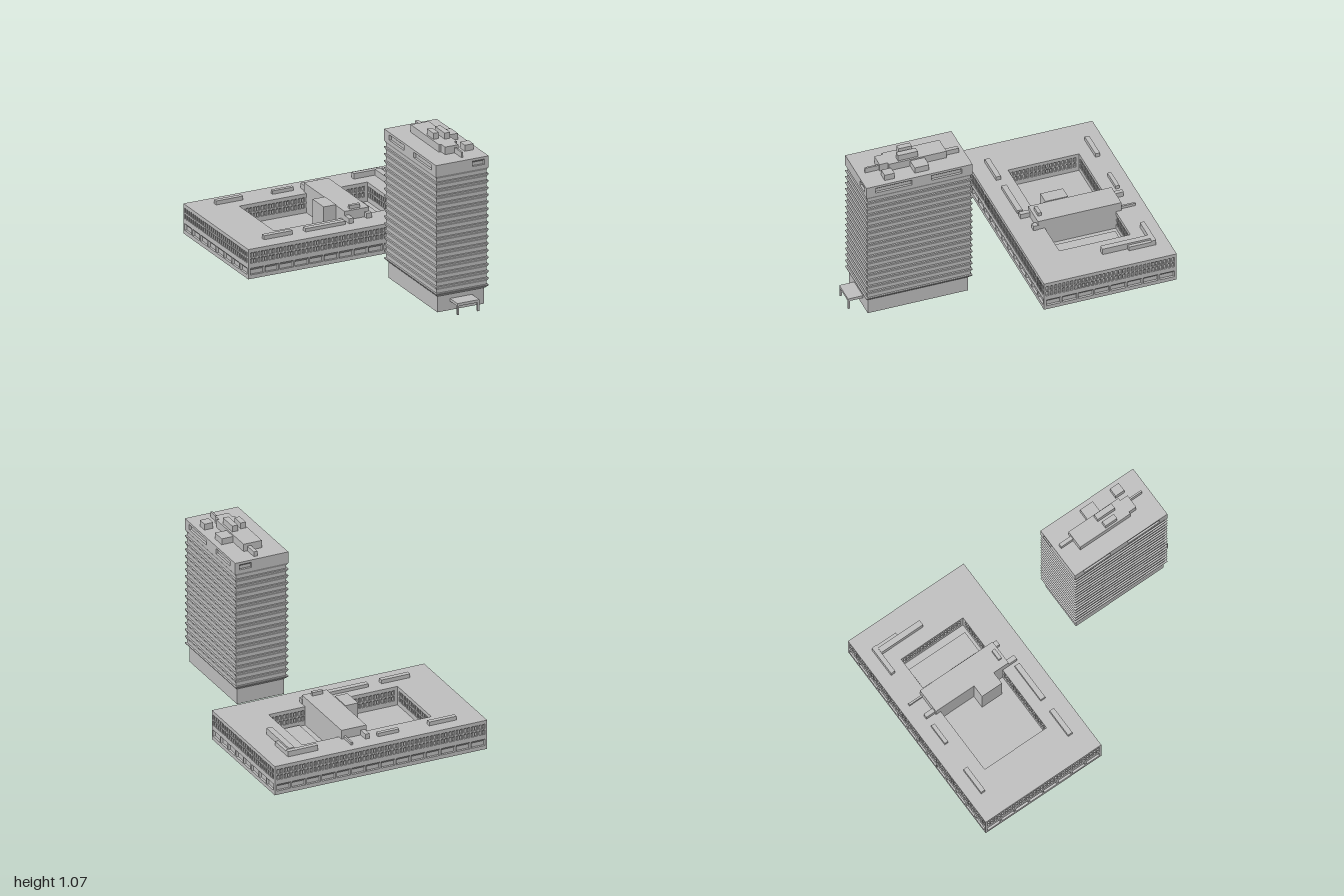
import * as THREE from 'three';
import { mergeGeometries } from 'three/addons/utils/BufferGeometryUtils.js';

const concrete = new THREE.MeshStandardMaterial({ color: 0xbfbfbf });
concrete.name = 'concrete grey';

function add(parent, name, geometry) {
  const mesh = new THREE.Mesh(geometry, concrete);
  mesh.name = name;
  parent.add(mesh);
}

// Box given by its limits
function block(parent, name, x0, x1, y0, y1, z0, z1) {
  const g = new THREE.BoxGeometry(x1 - x0, y1 - y0, z1 - z0);
  add(parent, name, g.translate((x0 + x1) / 2, (y0 + y1) / 2, (z0 + z1) / 2));
}

function fromTriangles(points) {
  const g = new THREE.BufferGeometry();
  g.setAttribute('position', new THREE.Float32BufferAttribute(points.flat(), 3));
  g.computeVertexNormals();
  return g;
}

function quad(out, a, b, c, d) {
  out.push(a, b, c, a, c, d);
}

const corners = (x0, x1, y0, y1, z) => [[x0, y0, z], [x1, y0, z], [x1, y1, z], [x0, y1, z]];

function rectPath(PathType, x0, x1, y0, y1) {
  return new PathType(corners(x0, x1, y0, y1, 0).map(p => new THREE.Vector2(p[0], p[1])));
}

// Wall facing +z with sunken windows; each window has a sloping head
function facade(width, y0, y1, windows) {
  const shape = rectPath(THREE.Shape, -width / 2, width / 2, y0, y1);
  const tris = [];
  for (const w of windows) {
    shape.holes.push(rectPath(THREE.Path, w.x0, w.x1, w.y0, w.y1));
    const o = corners(w.x0, w.x1, w.y0, w.y1, 0);
    const n = corners(w.x0 + w.side, w.x1 - w.side, w.y0, w.y1 - w.head, -w.depth);
    for (let i = 0; i < 4; i++) quad(tris, o[i], o[(i + 1) % 4], n[(i + 1) % 4], n[i]);
    quad(tris, ...n);
  }
  const flat = new THREE.ShapeGeometry(shape).toNonIndexed();
  flat.deleteAttribute('uv');
  return windows.length ? mergeGeometries([flat, fromTriangles(tris)]) : flat;
}

// Four facades around a rectangle, in the order front, right, back, left
function walls(parent, name, [x0, x1, z0, z1], y0, y1, windowsFor, inward = false) {
  const cx = (x0 + x1) / 2, cz = (z0 + z1) / 2, w = x1 - x0, d = z1 - z0;
  for (let i = 0; i < 4; i++) {
    const length = i % 2 ? d : w, reach = (i % 2 ? w : d) / 2;
    const g = facade(length, y0, y1, windowsFor(i, length));
    g.translate(0, 0, inward ? -reach : reach);
    add(parent, name, g.rotateY(i * Math.PI / 2).translate(cx, 0, cz));
  }
}

// Evenly spaced row of windows
function row(length, count, gap, y0, y1, head, depth) {
  const pitch = length / count, list = [];
  for (let i = 0; i < count; i++) {
    const x = -length / 2 + i * pitch;
    list.push({ x0: x + gap / 2, x1: x + pitch - gap / 2, y0, y1, head, depth, side: Math.min(0.003, gap / 3) });
  }
  return list;
}

// Horizontal plate with an optional rectangular opening
function plate(parent, name, [x0, x1, z0, z1], y, down = false, hole = null) {
  const shape = rectPath(THREE.Shape, x0, x1, -z1, -z0);
  if (hole) shape.holes.push(rectPath(THREE.Path, hole[0], hole[1], -hole[3], -hole[2]));
  const g = new THREE.ShapeGeometry(shape).rotateX(-Math.PI / 2);
  if (down) g.index.array.reverse(), g.computeVertexNormals();
  add(parent, name, g.translate(0, y, 0));
}

function buildTower() {
  const tower = new THREE.Group();
  tower.name = 'tower';
  const outer = [0.033, 0.398, 0.22, 0.92];
  block(tower, 'towerBase', 0.052, 0.376, 0, 0.106, 0.24, 0.902);

  // Ridged storeys: [inset, height] profile swept around the rectangle
  const pitch = 0.046, profile = [[0.019, 0.104]];
  for (let i = 0; i < 18; i++) {
    const y = 0.105 + i * pitch;
    if (i) profile.push([0.01, y]);
    profile.push([0, y + 0.018]);
    if (i < 17) profile.push([0, y + 0.024], [0.01, y + 0.025]);
  }
  const ring = ([s, y]) => [
    [outer[0] + s, y, outer[3] - s], [outer[1] - s, y, outer[3] - s],
    [outer[1] - s, y, outer[2] + s], [outer[0] + s, y, outer[2] + s]];
  const tris = [];
  for (let k = 1; k < profile.length; k++) {
    const a = ring(profile[k - 1]), b = ring(profile[k]);
    for (let i = 0; i < 4; i++) quad(tris, a[i], a[(i + 1) % 4], b[(i + 1) % 4], b[i]);
  }
  add(tower, 'storeys', fromTriangles(tris));

  // Crown with a few wide openings
  const opening = (x0, x1) => ({ x0, x1, y0: 0.929, y1: 0.964, head: 0.013, depth: 0.015, side: 0.001 });
  const openings = [
    [opening(0.07, 0.152)],
    [opening(-0.29, -0.05), opening(0.08, 0.28)],
    [opening(-0.152, -0.07)],
    [opening(-0.28, -0.08), opening(0.05, 0.29)]];
  walls(tower, 'crownWall', outer, 0.905, 0.98, i => openings[i]);
  plate(tower, 'towerRoof', outer, 0.98);

  // Roof plant: x0, x1, top, z0, z1
  for (const [x0, x1, top, z0, z1] of [
    [0.153, 0.278, 1.03, 0.345, 0.725], [0.168, 0.26, 1.03, 0.725, 0.78],
    [0.278, 0.357, 1.02, 0.49, 0.585], [0.228, 0.253, 1.012, 0.255, 0.345],
    [0.302, 0.362, 1.02, 0.72, 0.785], [0.234, 0.246, 1.015, 0.78, 0.87],
    [0.164, 0.2, 1.07, 0.545, 0.632], [0.227, 0.265, 1.07, 0.53, 0.66],
  ]) block(tower, 'roofPlant', x0, x1, 0.98, top, z0, z1);

  // Entrance canopy on two posts
  block(tower, 'canopy', 0.14, 0.292, 0.058, 0.076, 0.9, 1);
  for (const x of [0.14, 0.28]) block(tower, 'canopyPost', x, x + 0.012, 0, 0.06, 0.988, 1);
  return tower;
}

function buildLowBlock() {
  const low = new THREE.Group();
  low.name = 'lowBlock';
  const outer = [-0.73, 0.73, -1, -0.125], court = [-0.443, 0.443, -0.803, -0.335];
  const top = 0.197, floor = 0.07;

  const upperRows = (length, count) => [0.102, 0.142].flatMap(
    y => row(length, count, 0.009, y, y + 0.031, 0.009, 0.01));
  walls(low, 'outerWall', outer, 0, top, (i, length) => {
    const bays = i % 2 ? 8 : 14, span = length - 0.02;
    return [...row(span, bays, 0.01, 0.026, 0.07, 0.016, 0.015), ...upperRows(span, bays * 4)];
  });
  walls(low, 'courtWall', court, floor, top,
    (i, length) => upperRows(length - 0.03, i % 2 ? 17 : 33), true);
  plate(low, 'roof', outer, top, false, court);
  plate(low, 'underside', outer, 0, true);
  plate(low, 'courtFloor', court, floor);
  block(low, 'courtSkylight', 0.242, 0.392, floor, 0.09, -0.78, -0.357);

  // Central wing dividing the courtyards
  block(low, 'centralWing', 0.022, 0.192, floor, 0.257, -0.84, -0.29);
  block(low, 'stairBlock', -0.065, 0.022, floor, 0.263, -0.553, -0.403);
  block(low, 'wingVent', 0.068, 0.14, 0.257, 0.28, -0.333, -0.31);

  // Roof boxes: x0, x1, top, z0, z1
  for (const [x0, x1, h, z0, z1] of [
    [-0.562, -0.375, 0.223, -0.915, -0.885], [-0.17, -0.025, 0.22, -0.91, -0.885],
    [0.392, 0.597, 0.233, -0.915, -0.885], [0.537, 0.575, 0.238, -0.885, -0.57],
    [0.575, 0.597, 0.225, -0.885, -0.735], [-0.567, -0.37, 0.223, -0.26, -0.228],
    [-0.28, -0.005, 0.219, -0.263, -0.228], [0.032, 0.06, 0.23, -0.905, -0.84],
    [0.163, 0.176, 0.215, -0.94, -0.84], [0.022, 0.053, 0.23, -0.29, -0.228],
    [0.16, 0.195, 0.23, -0.295, -0.26],
  ]) block(low, 'roofBox', x0, x1, top, h, z0, z1);
  return low;
}

export function createModel() {
  const model = new THREE.Group();
  model.name = 'officeComplex';
  model.add(buildTower(), buildLowBlock());
  return model;
}
